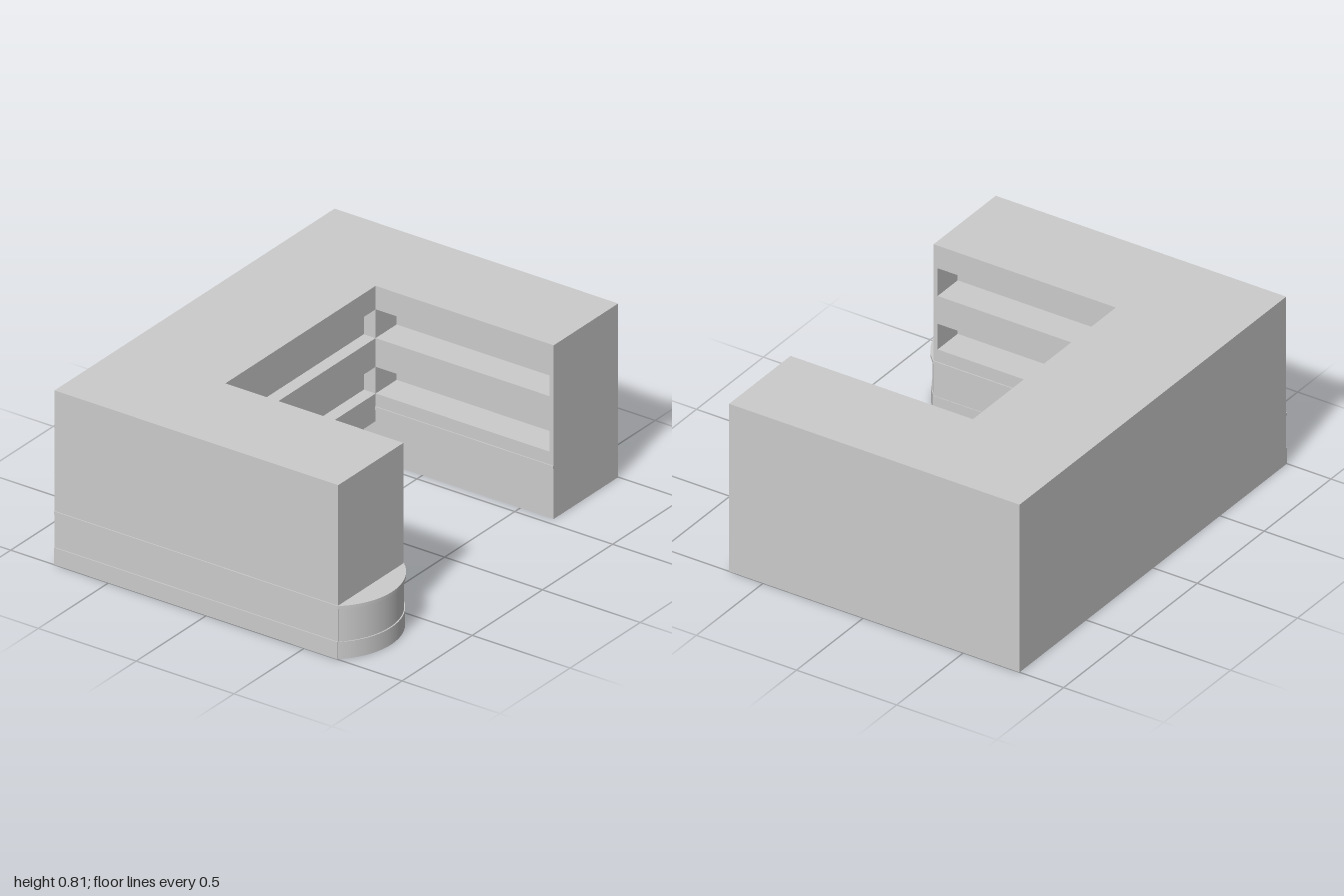
import * as THREE from 'three';

const material = new THREE.MeshStandardMaterial({ color: 0xcccccc });
const TOP = 0.815, BACK = -0.78, FRONT = 0.67, INNER = -0.24, PANEL = 0.02;

export function createModel() {
  const group = new THREE.Group();

  function add(name, geometry) {
    const mesh = new THREE.Mesh(geometry, material);
    mesh.name = name;
    group.add(mesh);
    return mesh;
  }

  // Box given by its two extreme corners
  function block(name, x0, x1, y0, y1, z0, z1) {
    const mesh = add(name, new THREE.BoxGeometry(x1 - x0, y1 - y0, z1 - z0));
    mesh.position.set((x0 + x1) / 2, (y0 + y1) / 2, (z0 + z1) / 2);
  }

  // Cabinet section: straight rear edge, open niches cut into the face edge
  function section(rear, face, depth, niches) {
    const inner = face + Math.sign(rear - face) * depth;
    const shape = new THREE.Shape().moveTo(rear, 0).lineTo(face, 0);
    for (const [low, high] of niches) {
      shape.lineTo(face, low).lineTo(inner, low).lineTo(inner, high).lineTo(face, high);
    }
    return shape.lineTo(face, TOP).lineTo(rear, TOP).closePath();
  }
  const extrude = (shape, depth) =>
    new THREE.ExtrudeGeometry(shape, { depth, bevelEnabled: false, curveSegments: 24 });

  // Back run, with three niches facing the front
  const shelfNiches = [[0.31, 0.435], [0.57, 0.705]];
  const backRun = add('backRun',
    extrude(section(-BACK, -INNER, 0.06, [[0.015, 0.18], ...shelfNiches]), 1.07));
  backRun.rotation.y = Math.PI / 2;
  backRun.position.x = -0.53;

  // Side arms, with niches facing the middle and closed ends
  for (const [name, outer, face] of [['rightArm', -0.995, -0.53], ['leftArm', 1, 0.54]]) {
    const x0 = Math.min(outer, face), x1 = Math.max(outer, face);
    const arm = add(name, extrude(section(outer, face, 0.15, shelfNiches), FRONT - PANEL - INNER));
    arm.position.z = INNER;
    block(name + 'Corner', x0, x1, 0, TOP, BACK, INNER);
    block(name + 'EndPanel', x0, x1, 0, TOP, FRONT - PANEL, FRONT);
    // Narrow ledge along the inner face
    const s = Math.sign(outer);
    const edge = face - s * 0.005;
    block(name + 'Ledge', Math.min(edge, face), Math.max(edge, face), 0.235, 0.25, INNER, FRONT);
  }

  // Ledge and plinth on the outer side of the arm with the rounded end
  block('outerLedge', -1, -0.995, 0.235, 0.25, BACK, FRONT);
  block('outerPlinth', -1, -0.995, 0, 0.08, BACK, FRONT);
  block('innerPlinth', -0.53, -0.527, 0, 0.08, INNER, FRONT);

  // Low rounded end: plinth, body and overhanging top
  function roundedEnd(name, half, bulge, y0, y1) {
    const radius = (half * half + bulge * bulge) / (2 * bulge);
    const angle = Math.asin(half / radius);
    const shape = new THREE.Shape();
    shape.absarc(0, radius - bulge, radius, -Math.PI / 2 - angle, -Math.PI / 2 + angle, false);
    shape.closePath();
    const mesh = add(name, extrude(shape, y1 - y0));
    mesh.rotation.x = -Math.PI / 2;
    mesh.position.set(-0.7635, y0, FRONT);
  }
  roundedEnd('roundedPlinth', 0.234, 0.104, 0, 0.08);
  roundedEnd('roundedBody', 0.23, 0.098, 0.08, 0.235);
  roundedEnd('roundedTop', 0.2365, 0.11, 0.235, 0.25);

  return group;
}
